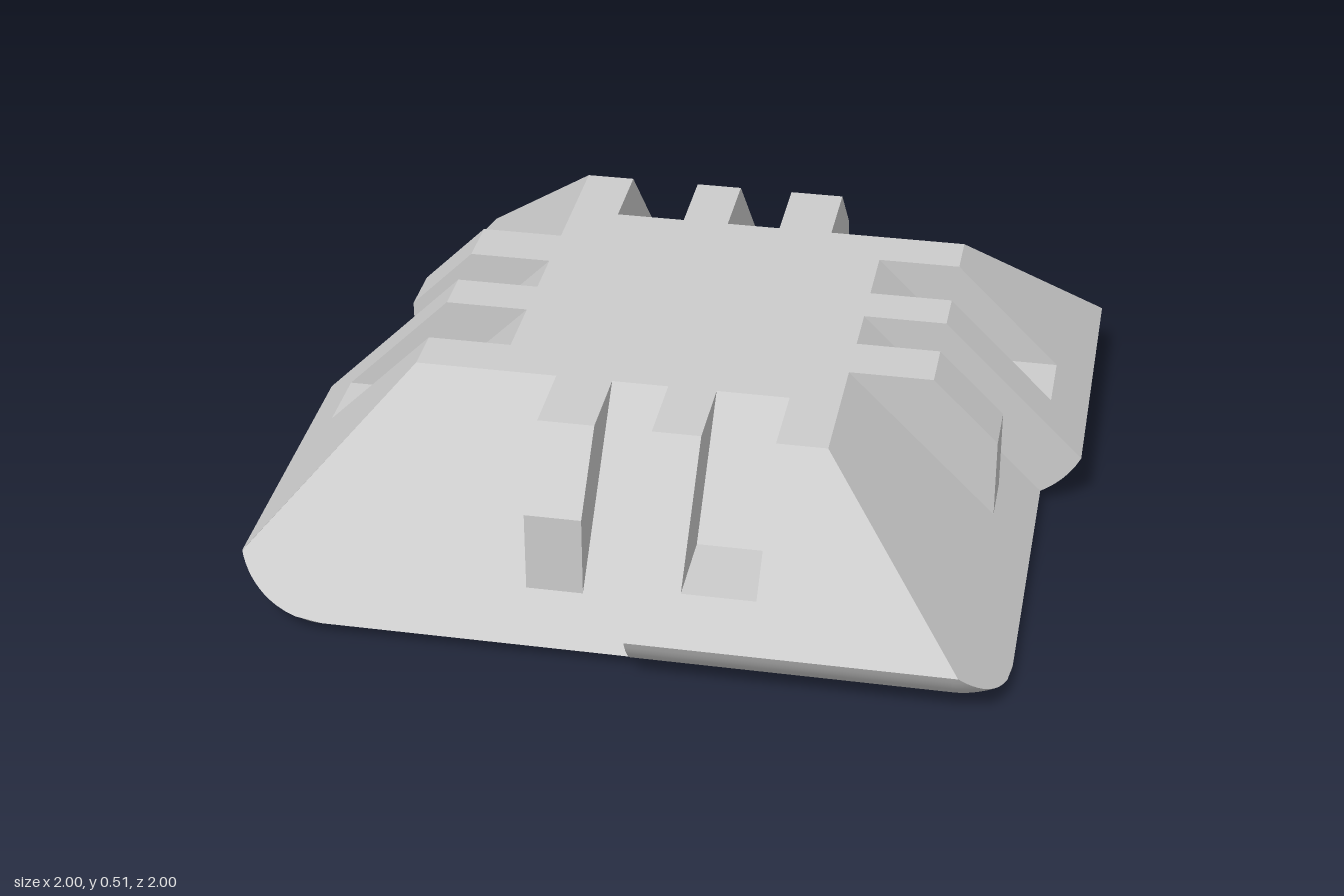
import * as THREE from 'three';
import { toCreasedNormals } from 'three/addons/utils/BufferGeometryUtils.js';

const TOP = 0.51;            // height of the flat top
const INNER = 0.935;         // recessed 45 degree slope: z + y = INNER
const OUTER = 1.145;         // raised 45 degree slope: z + y = OUTER
const R = 0.25, CORE = 0.77; // bottom edge radius and where the rounding starts
const Y_IN = 0.0359, Y_OUT = 0.1471; // heights where the slopes meet the rounding
const SLOT = [0.12, 0.3], SLOT_Y = 0.24;
const RIB = [-0.28, -0.14], RIB_Z = 0.8;

const material = new THREE.MeshStandardMaterial({ color: 0xcccccc, side: THREE.DoubleSide });

function add(group, name, geometry) {
  const mesh = new THREE.Mesh(geometry, material);
  mesh.name = name;
  group.add(mesh);
}

const polygon = (pts) => new THREE.Shape(pts.map(([x, y]) => new THREE.Vector2(x, y)));

// Move the vertices of a geometry by a rule
function warp(geometry, rule) {
  const p = geometry.attributes.position;
  for (let i = 0; i < p.count; i++) p.setXYZ(i, ...rule(p.getX(i), p.getY(i)));
  geometry.computeVertexNormals();
  return geometry;
}

// Flat face drawn in x and y, leaned back onto the slope z + y = c
const slope = (pts, c) => warp(new THREE.ShapeGeometry(polygon(pts)), (x, y) => [x, y, c - y]);

// Upright wall drawn in z and y, placed at x and facing -x
const wall = (pts, x) => new THREE.ShapeGeometry(polygon(pts)).rotateY(-Math.PI / 2).translate(x, 0, 0);

// Rounding: how far it reaches beyond the core at height y, and the corner cut
const reach = (y) => Math.sqrt(Math.max(0, R * R - (R - y) ** 2));
const cutAngle = (y) => {
  const s = reach(y);
  return s < 1e-6 ? Math.PI / 2 : Math.asin(Math.min(1, (INNER - CORE - y) / s));
};
const angleAt = (y) => Math.acos(1 - y / R);
const heightAt = (a) => R * (1 - Math.cos(a));
const A_IN = angleAt(Y_IN), A_OUT = angleAt(Y_OUT);
const upperHeight = (t) => heightAt(A_IN + (A_OUT - A_IN) * t);

function buildSide() {
  const side = new THREE.Group();
  const steps = Array.from({ length: 13 }, (_, i) => i / 12);

  // Recessed half, with its curved outer corner
  const corner = steps.map((t) => {
    const y = upperHeight(1 - t);
    return [-(CORE + reach(y) * Math.cos(cutAngle(y))), y];
  });
  add(side, 'recessedSlope', slope([[0, TOP], [TOP - OUTER, TOP], ...corner, [0, Y_IN]], INNER));

  // Raised half, notched for the slot
  add(side, 'raisedSlope', slope([
    [0, TOP], [0, Y_OUT], [INNER - Y_OUT, Y_OUT], [INNER - TOP, TOP],
    [SLOT[1], TOP], [SLOT[1], SLOT_Y], [SLOT[0], SLOT_Y], [SLOT[0], TOP],
  ], OUTER));

  // Step between the halves
  const edge = steps.map((t) => {
    const y = upperHeight(1 - t);
    return [CORE + reach(y), y];
  });
  add(side, 'stepWall', wall([[INNER - TOP, TOP], [OUTER - TOP, TOP], ...edge], 0));

  // Slot: sloped back, level floor and two cheeks
  const [x0, x1] = SLOT;
  add(side, 'slotBack', slope([[x0, SLOT_Y], [x1, SLOT_Y], [x1, TOP], [x0, TOP]], INNER));
  add(side, 'slotFloor', new THREE.PlaneGeometry(x1 - x0, OUTER - INNER).rotateX(-Math.PI / 2)
    .translate((x0 + x1) / 2, SLOT_Y, (OUTER + INNER) / 2 - SLOT_Y));
  const cheek = [[INNER - TOP, TOP], [OUTER - TOP, TOP], [OUTER - SLOT_Y, SLOT_Y], [INNER - SLOT_Y, SLOT_Y]];
  add(side, 'slotCheek', wall(cheek, x1));
  add(side, 'slotCheek', wall(cheek.map(([z, y]) => [-z, y]), -x0).rotateY(Math.PI));

  // Rib standing on the recessed half
  const rib = polygon([[INNER - TOP, TOP], [OUTER - TOP, TOP], [RIB_Z, OUTER - RIB_Z], [RIB_Z, INNER - RIB_Z]]);
  add(side, 'rib', new THREE.ExtrudeGeometry(rib, { depth: RIB[1] - RIB[0], bevelEnabled: false })
    .rotateY(-Math.PI / 2).translate(RIB[1], 0, 0));

  // Rounded bottom edge: raised half with its ball corner, then recessed half
  const cols = 17, rows = 14;
  add(side, 'roundedCorner', warp(new THREE.PlaneGeometry(1, 1, cols, rows), (px, py) => {
    const j = Math.round((px + 0.5) * cols), v = py + 0.5;
    const y = v < 0.5 ? heightAt(A_IN * v * 2) : upperHeight(v * 2 - 1);
    const s = reach(y);
    if (j === 0) return [0, y, CORE + s];
    const phi = cutAngle(y) * (j - 1) / (cols - 1);
    return [CORE + s * Math.sin(phi), y, CORE + s * Math.cos(phi)];
  }));
  add(side, 'roundedEdge', warp(new THREE.PlaneGeometry(1, 1, 1, 7), (px, py) => {
    const y = heightAt(A_IN * (py + 0.5));
    return [(px - 0.5) * CORE, y, CORE + reach(y)];
  }));
  return side;
}

export function createModel() {
  const model = new THREE.Group();
  model.name = 'connectorBlock';

  // Four equal sides, with the top outline turned along
  const a = INNER - TOP, b = OUTER - TOP;
  const outline = [[-b, a], [0, a], [0, b], [SLOT[0], b], [SLOT[0], a], [SLOT[1], a], [SLOT[1], b]];
  const topPoints = [];
  let turned = outline;
  for (let k = 0; k < 4; k++) {
    const side = buildSide();
    side.name = 'side' + (k + 1);
    side.rotation.y = k * Math.PI / 2;
    model.add(side);
    topPoints.push(...turned.map(([x, z]) => [x, -z]));
    turned = turned.map(([x, z]) => [z, -x]);
  }
  add(model, 'topPlate', new THREE.ShapeGeometry(polygon(topPoints)).rotateX(-Math.PI / 2).translate(0, TOP, 0));

  // Flat underside with a round opening
  const base = polygon([[-CORE, -CORE], [CORE, -CORE], [CORE, CORE], [-CORE, CORE]]);
  base.holes.push(new THREE.Path().absarc(0, 0, 0.52, 0, Math.PI * 2, true));
  add(model, 'underside', new THREE.ShapeGeometry(base, 24).rotateX(Math.PI / 2));

  // Conical recess with a central peg
  const profile = [[0, 0.07], [0.22, 0.07], [0.22, 0.26], [0.26, 0.26], [0.52, 0]];
  const recess = new THREE.LatheGeometry(profile.map(([r, y]) => new THREE.Vector2(r, y)), 48);
  add(model, 'recessAndPeg', toCreasedNormals(recess, 0.5));
  return model;
}
